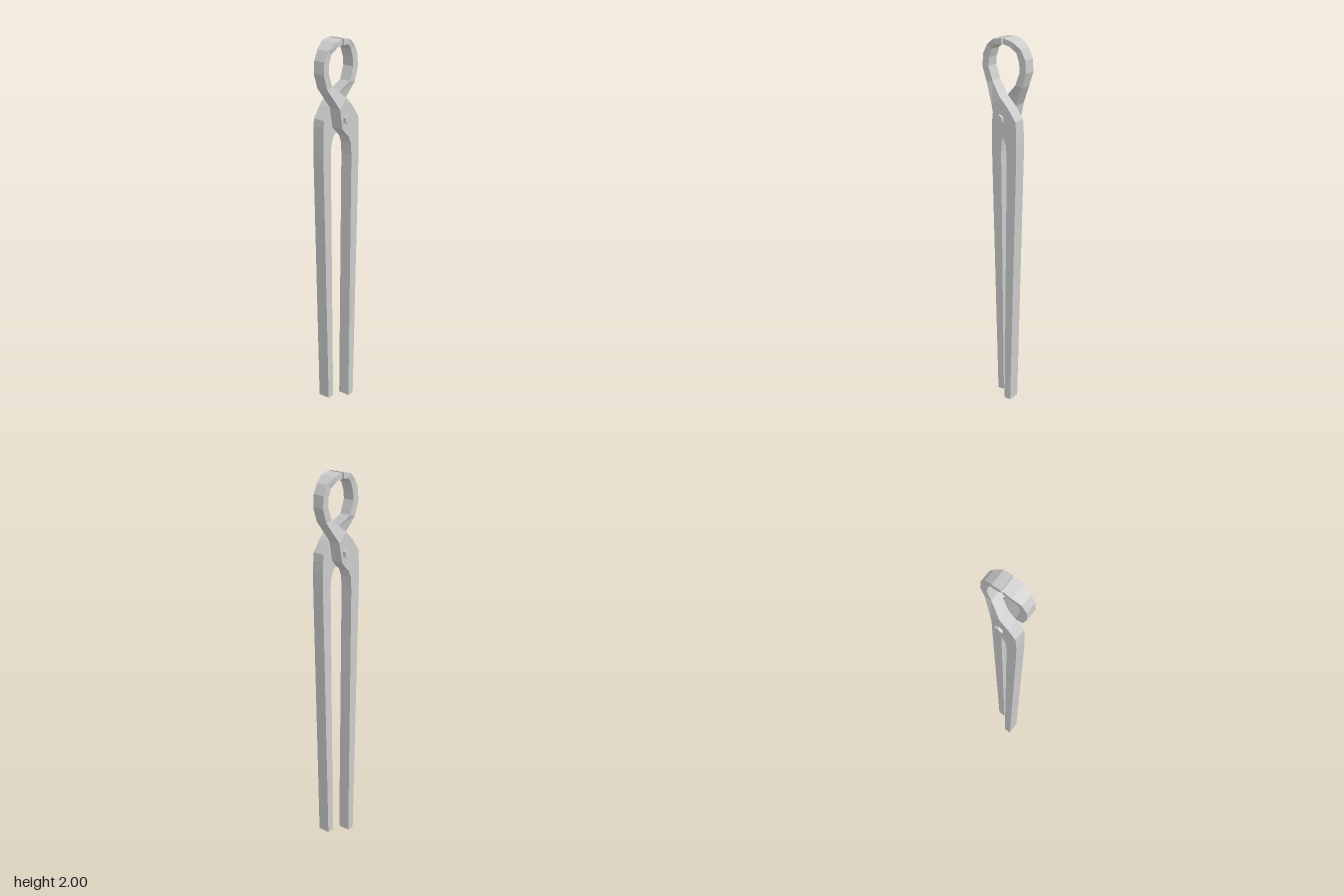
import * as THREE from 'three';

// Cross-sections along one lever, handle end to jaw tip:
// [right x, right y, left x, left y, back z, front z]
const SECTIONS = [
  [0.065, 0, 0.027, 0, 0, 0.066],
  [0.1, 1.4, 0.042, 1.4, 0, 0.066],
  [0.1, 1.5, 0.037, 1.465, 0, 0.066],
  [0.098, 1.56, 0.02, 1.505, 0, 0.066],
  [0.094, 1.6, 0, 1.522, 0, 0.066],
  [0.05, 1.66, -0.03, 1.555, 0, 0.066],
  [0, 1.71, -0.05, 1.66, 0, 0.066],
  [-0.07, 1.775, -0.107, 1.765, -0.032, 0.032],
  [-0.095, 1.845, -0.132, 1.84, -0.032, 0.032],
  [-0.091, 1.89, -0.128, 1.905, -0.032, 0.032],
  [-0.075, 1.935, -0.102, 1.955, -0.033, 0.033],
  [-0.042, 1.965, -0.056, 1.99, -0.045, 0.045],
  [-0.006, 1.97, -0.006, 2.0, -0.045, 0.045],
];

// Skin rectangular sections into a closed bar
function loftBar(sections) {
  const positions = [];
  const index = [];
  for (const [rx, ry, lx, ly, z0, z1] of sections) {
    positions.push(rx, ry, z0, rx, ry, z1, lx, ly, z1, lx, ly, z0);
  }
  for (let i = 0; i < sections.length - 1; i++) {
    for (let j = 0; j < 4; j++) {
      const a = i * 4 + j;
      const b = i * 4 + ((j + 1) % 4);
      index.push(a, a + 4, b, b, a + 4, b + 4);
    }
  }
  const t = (sections.length - 1) * 4;
  index.push(0, 1, 2, 0, 2, 3, t, t + 2, t + 1, t, t + 3, t + 2);
  const geometry = new THREE.BufferGeometry();
  geometry.setAttribute('position', new THREE.Float32BufferAttribute(positions, 3));
  geometry.setIndex(index);
  const flat = geometry.toNonIndexed();
  flat.computeVertexNormals();
  return flat;
}

export function createModel() {
  const group = new THREE.Group();
  group.name = 'tongs';
  const material = new THREE.MeshStandardMaterial({ color: 0xcccccc, flatShading: true });

  // Two identical levers, one turned half way round
  const lever = loftBar(SECTIONS);
  ['frontLever', 'backLever'].forEach((name, i) => {
    const mesh = new THREE.Mesh(lever, material);
    mesh.name = name;
    mesh.rotation.y = i * Math.PI;
    group.add(mesh);
  });

  // Hexagonal pivot pin through both levers
  const pin = new THREE.Mesh(new THREE.CylinderGeometry(0.025, 0.025, 0.16, 6), material);
  pin.name = 'pivotPin';
  pin.rotation.x = Math.PI / 2;
  pin.position.y = 1.6;
  group.add(pin);

  return group;
}
